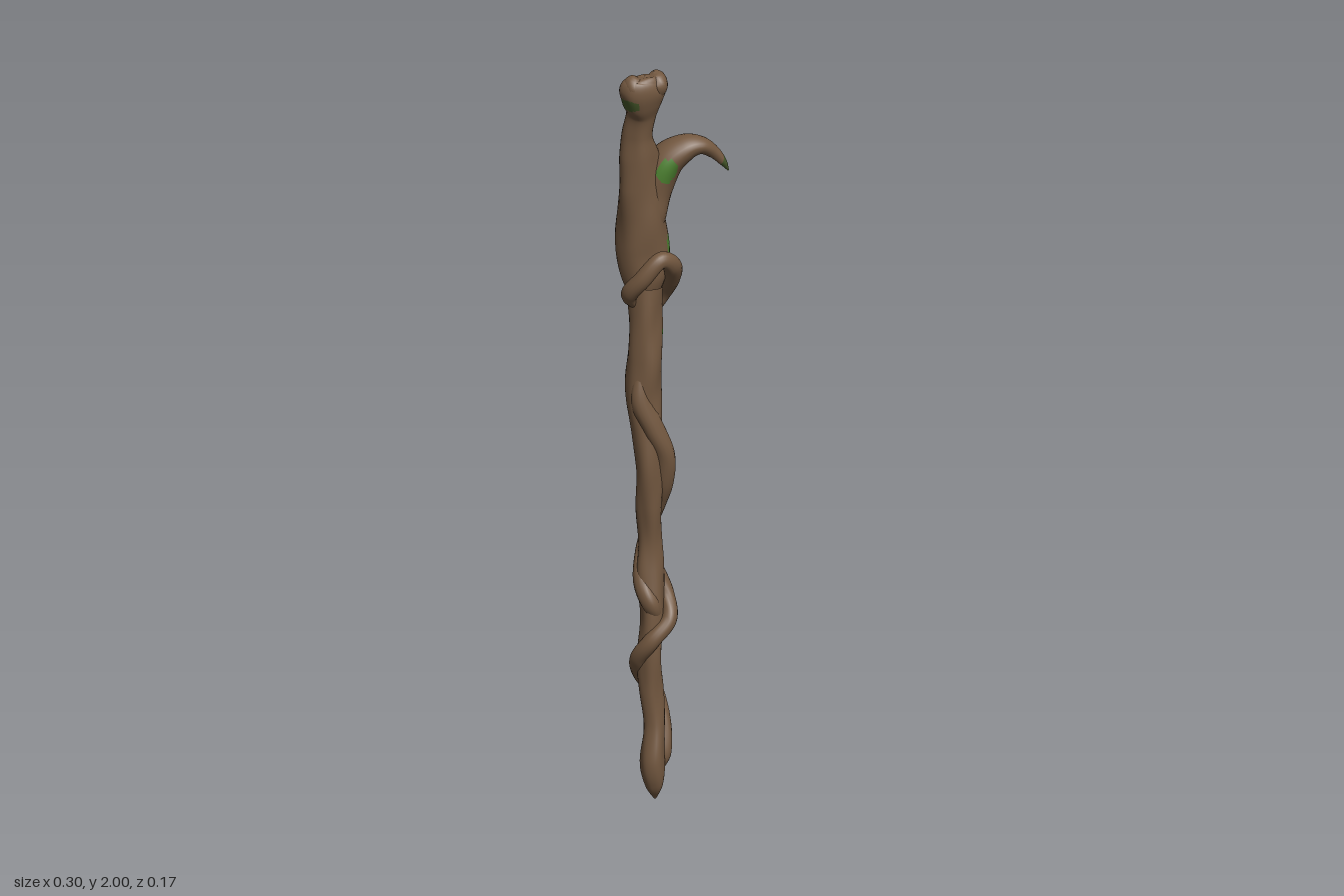
import * as THREE from 'three';

// Moss patches: centre, half sizes, material slot (1 = bright, 2 = dark)
const MOSS = [
  [-0.02, 1.72, 0.06, 0.03, 0.035, 0.04, 1],
  [0.02, 1.5, 0.005, 0.05, 0.035, 0.03, 1],
  [0.02, 1.55, -0.03, 0.05, 0.04, 0.022, 1],
  [0.0, 1.27, 0.02, 0.03, 0.015, 0.02, 1],
  [-0.13, 1.92, 0.05, 0.03, 0.018, 0.04, 2],
  [0.147, 1.72, 0.045, 0.017, 0.03, 0.02, 2],
];

function mossSlot(x, y, z) {
  for (const [cx, cy, cz, sx, sy, sz, slot] of MOSS) {
    if (((x - cx) / sx) ** 2 + ((y - cy) / sy) ** 2 + ((z - cz) / sz) ** 2 < 1) return slot;
  }
  return 0;
}

// Lofted limb through rows of [x, y, z, radius along z, radius across]
function limb(rows, steps, sides, lump) {
  const path = new THREE.CatmullRomCurve3(rows.map(r => new THREE.Vector3(r[0], r[1], r[2])), false, 'catmullrom', 0.5);
  const radii = new THREE.CatmullRomCurve3(rows.map(r => new THREE.Vector3(r[3], r[4], 0)), false, 'catmullrom', 0.5);
  const pos = [];
  for (let i = 0; i <= steps; i++) {
    const u = i / steps;
    const c = path.getPoint(u), r = radii.getPoint(u), t = path.getTangent(u);
    const n = new THREE.Vector3(0, 0, 1).addScaledVector(t, -t.z).normalize();
    const b = new THREE.Vector3().crossVectors(t, n);
    for (let j = 0; j < sides; j++) {
      const a = j / sides * Math.PI * 2;
      // Gnarled bark ridges that twist along the limb
      const k = 1 + lump * (Math.sin(2 * a + 17 * c.y) + 0.6 * Math.sin(3 * a - 31 * c.y) + 0.4 * Math.sin(5 * a + 12 * c.y));
      const p = c.clone()
        .addScaledVector(n, Math.max(r.x, 0.001) * k * Math.cos(a))
        .addScaledVector(b, Math.max(r.y, 0.001) * k * Math.sin(a));
      pos.push(p.x, p.y, p.z);
    }
  }
  const slots = [[], [], []];
  const add = (...tri) => {
    const m = [0, 1, 2].map(k => tri.reduce((s, v) => s + pos[v * 3 + k], 0) / 3);
    slots[mossSlot(...m)].push(...tri);
  };
  for (let i = 0; i < steps; i++) {
    for (let j = 0; j < sides; j++) {
      const p = i * sides + j, q = i * sides + (j + 1) % sides;
      add(p, q, p + sides);
      add(q, q + sides, p + sides);
    }
  }
  const geo = new THREE.BufferGeometry();
  geo.setAttribute('position', new THREE.Float32BufferAttribute(pos, 3));
  geo.setIndex(slots.flat());
  let start = 0;
  slots.forEach((s, k) => {
    if (s.length) geo.addGroup(start, s.length, k);
    start += s.length;
  });
  geo.computeVertexNormals();
  return geo;
}

export function createModel() {
  const material = (name, color) => {
    const m = new THREE.MeshStandardMaterial({ color });
    m.name = name;
    return m;
  };
  const materials = [
    material('bark brown', 0x735840),
    material('moss green', 0x4c8030),
    material('dark moss', 0x46582a),
  ];
  const group = new THREE.Group();
  group.name = 'gnarledStaff';
  const part = (name, rows, steps, sides, lump) => {
    const mesh = new THREE.Mesh(limb(rows, steps, sides, lump), materials);
    mesh.name = name;
    group.add(mesh);
  };

  // Main shaft, from the pointed foot to the waist
  part('lowerShaft', [
    [-0.05, 0.0, 0.04, 0.003, 0.003],
    [-0.055, 0.04, 0.042, 0.025, 0.023],
    [-0.058, 0.1, 0.04, 0.034, 0.033],
    [-0.048, 0.2, 0.03, 0.031, 0.027],
    [-0.055, 0.3, 0.025, 0.032, 0.03],
    [-0.06, 0.4, 0.025, 0.033, 0.029],
    [-0.05, 0.5, 0.02, 0.034, 0.032],
    [-0.05, 0.6, 0.01, 0.034, 0.036],
    [-0.05, 0.7, 0.005, 0.031, 0.029],
    [-0.055, 0.8, 0.008, 0.035, 0.033],
    [-0.055, 0.9, 0.015, 0.036, 0.037],
    [-0.06, 1.0, 0.012, 0.038, 0.038],
    [-0.068, 1.1, 0.005, 0.042, 0.045],
    [-0.063, 1.2, 0.002, 0.046, 0.046],
    [-0.058, 1.3, -0.005, 0.05, 0.044],
    [-0.058, 1.4, -0.005, 0.05, 0.044],
  ], 200, 28, 0.06);

  // Thick upper shaft, neck and flared knob
  part('upperShaft', [
    [-0.055, 1.36, -0.005, 0.03, 0.03],
    [-0.058, 1.42, -0.012, 0.055, 0.055],
    [-0.06, 1.5, -0.02, 0.062, 0.07],
    [-0.064, 1.6, -0.017, 0.06, 0.064],
    [-0.066, 1.68, -0.01, 0.055, 0.062],
    [-0.078, 1.76, 0.0, 0.047, 0.05],
    [-0.085, 1.82, 0.003, 0.044, 0.037],
    [-0.08, 1.88, 0.015, 0.042, 0.037],
    [-0.084, 1.92, 0.032, 0.041, 0.055],
    [-0.084, 1.955, 0.042, 0.039, 0.067],
    [-0.08, 1.98, 0.043, 0.031, 0.052],
    [-0.08, 1.99, 0.042, 0.018, 0.03],
    [-0.08, 1.992, 0.042, 0.001, 0.001],
  ], 140, 32, 0.045);

  // Two bumps on top of the knob
  part('knobBumpRight', [
    [-0.105, 1.93, 0.045, 0.02, 0.02],
    [-0.112, 1.965, 0.045, 0.03, 0.03],
    [-0.108, 1.99, 0.045, 0.018, 0.02],
    [-0.106, 1.996, 0.045, 0.001, 0.001],
  ], 24, 18, 0.05);
  part('knobBumpLeft', [
    [-0.06, 1.93, 0.045, 0.02, 0.02],
    [-0.047, 1.965, 0.045, 0.034, 0.03],
    [-0.052, 1.992, 0.042, 0.02, 0.02],
    [-0.055, 2.0, 0.042, 0.001, 0.001],
  ], 24, 18, 0.05);

  // Side branch bending over into a hooked thorn
  part('hookBranch', [
    [-0.05, 1.48, -0.02, 0.03, 0.03],
    [-0.042, 1.58, -0.022, 0.056, 0.045],
    [-0.03, 1.66, -0.014, 0.056, 0.047],
    [-0.004, 1.73, 0.0, 0.055, 0.044],
    [0.04, 1.768, 0.02, 0.044, 0.034],
    [0.08, 1.775, 0.035, 0.03, 0.023],
    [0.115, 1.753, 0.042, 0.016, 0.016],
    [0.138, 1.725, 0.045, 0.011, 0.01],
    [0.153, 1.7, 0.046, 0.002, 0.002],
  ], 90, 24, 0.03);

  // Vine looped around the waist
  part('upperVine', [
    [-0.085, 1.34, 0.0, 0.006, 0.006],
    [-0.112, 1.385, 0.015, 0.024, 0.02],
    [-0.09, 1.435, 0.05, 0.024, 0.022],
    [-0.045, 1.485, 0.063, 0.022, 0.022],
    [-0.005, 1.46, 0.047, 0.024, 0.025],
    [0.008, 1.41, 0.008, 0.024, 0.024],
    [0.0, 1.355, -0.037, 0.024, 0.024],
    [-0.035, 1.295, -0.055, 0.025, 0.025],
    [-0.07, 1.22, -0.035, 0.018, 0.018],
    [-0.075, 1.14, -0.015, 0.004, 0.004],
  ], 110, 16, 0.03);

  // Vine twisting down the middle
  part('middleVine', [
    [-0.08, 1.2, 0.02, 0.006, 0.006],
    [-0.085, 1.1, 0.025, 0.025, 0.025],
    [-0.055, 1.02, 0.035, 0.026, 0.028],
    [-0.022, 0.94, 0.033, 0.028, 0.028],
    [-0.016, 0.86, 0.015, 0.028, 0.026],
    [-0.018, 0.79, -0.015, 0.024, 0.022],
    [-0.03, 0.73, -0.035, 0.022, 0.02],
    [-0.06, 0.66, -0.018, 0.02, 0.02],
    [-0.075, 0.59, 0.012, 0.022, 0.022],
    [-0.06, 0.53, 0.04, 0.02, 0.022],
    [-0.03, 0.47, 0.03, 0.005, 0.005],
  ], 130, 16, 0.04);

  // Vine winding around the foot
  part('lowerVine', [
    [-0.028, 0.08, 0.035, 0.006, 0.006],
    [-0.02, 0.12, 0.028, 0.02, 0.02],
    [-0.012, 0.19, 0.004, 0.023, 0.021],
    [-0.025, 0.27, -0.025, 0.024, 0.023],
    [-0.065, 0.33, -0.012, 0.023, 0.023],
    [-0.088, 0.385, 0.02, 0.022, 0.021],
    [-0.065, 0.44, 0.053, 0.023, 0.022],
    [-0.015, 0.49, 0.047, 0.024, 0.022],
    [-0.005, 0.545, 0.01, 0.022, 0.021],
    [-0.025, 0.61, -0.013, 0.021, 0.021],
    [-0.045, 0.69, -0.01, 0.005, 0.005],
  ], 130, 16, 0.04);

  return group;
}
